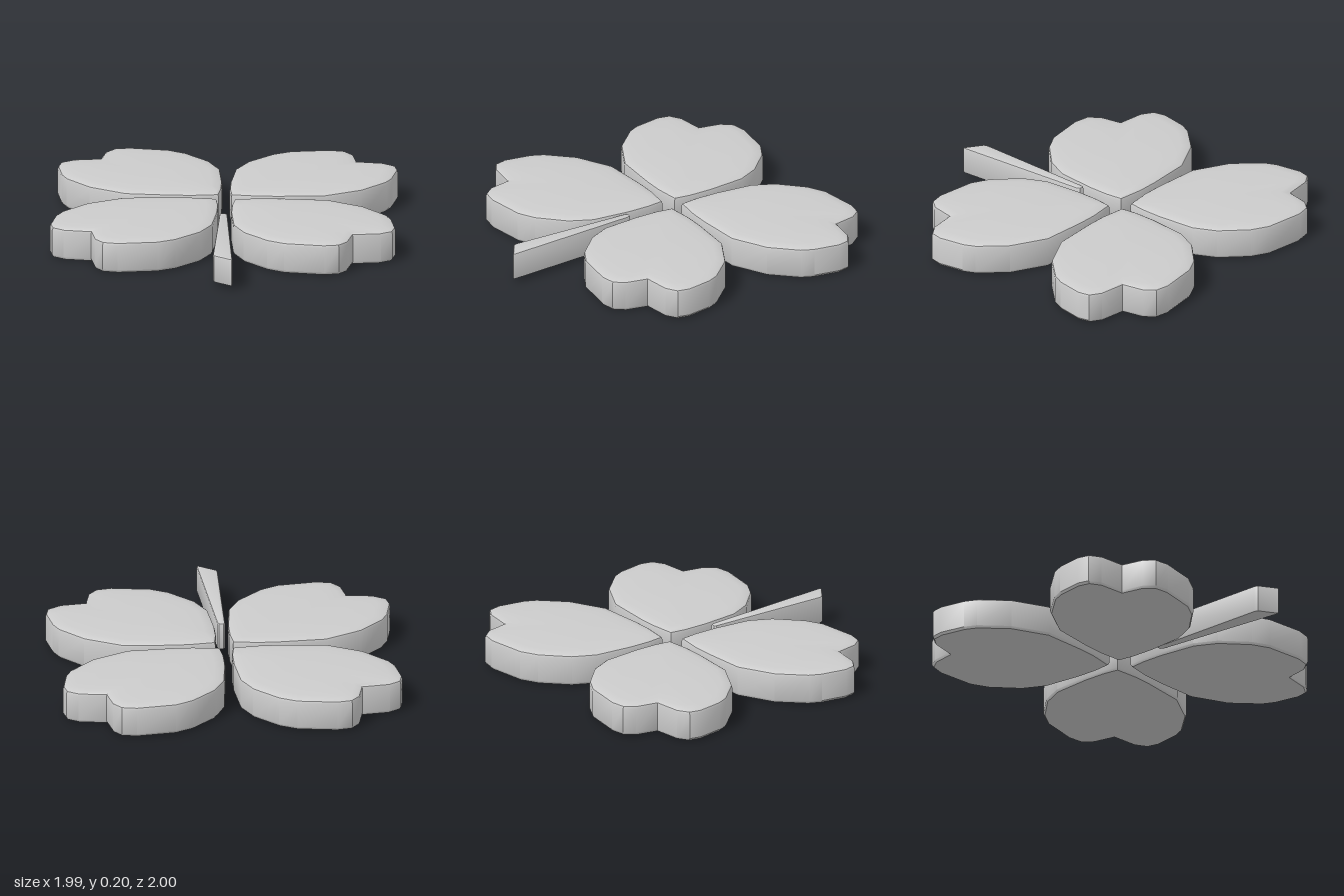
import * as THREE from 'three';
import { toCreasedNormals } from 'three/addons/utils/BufferGeometryUtils.js';

const material = new THREE.MeshStandardMaterial({ color: 0xcccccc });

// Heart-shaped leaf outline (x, z), with its inner tip at the origin
const LEAF = [
  [0, 0], [0.15, -0.018], [0.27, -0.018], [0.54, 0], [0.75, 0.11], [0.886, 0.255],
  [0.918, 0.325], [0.945, 0.48], [0.93, 0.55], [0.864, 0.592], [0.704, 0.613],
  [0.677, 0.747], [0.63, 0.806], [0.544, 0.822], [0.314, 0.79], [0.212, 0.736],
  [0.073, 0.597], [0.009, 0.464], [-0.013, 0.234], [-0.013, 0.1],
];
const CENTRE = [0.42, 0.36];

// Leaf cross-section from underside to top: [outline scale, height]
const RINGS = [
  [0, 0.003], [0.93, 0.004], [0.98, 0.008], [1, 0.022], [1, 0.172],
  [0.99, 0.185], [0.965, 0.191], [0.85, 0.197], [0.6, 0.202], [0, 0.204],
];

// Lofts the outline through the rings; sx and sz mirror it into a quadrant
function leafGeometry(sx, sz) {
  const outline = LEAF.map(([x, z]) => [x * sx, z * sz]);
  if (sx * sz < 0) outline.reverse();
  const [cx, cz] = [CENTRE[0] * sx, CENTRE[1] * sz];
  const n = outline.length;
  const positions = [], index = [];
  for (const [s, y] of RINGS) {
    for (const [x, z] of outline) positions.push(cx + (x - cx) * s, y, cz + (z - cz) * s);
  }
  for (let r = 0; r < RINGS.length - 1; r++) {
    for (let i = 0; i < n; i++) {
      const j = (i + 1) % n;
      const a = r * n + i, b = r * n + j;
      if (RINGS[r][0] > 0) index.push(a, a + n, b);
      if (RINGS[r + 1][0] > 0) index.push(a + n, b + n, b);
    }
  }
  const geometry = new THREE.BufferGeometry();
  geometry.setAttribute('position', new THREE.Float32BufferAttribute(positions, 3));
  geometry.setIndex(index);
  return toCreasedNormals(geometry, 0.6);
}

// Tapered stem, cut at a slant at its wide end
function stemGeometry() {
  const points = [
    [-0.027, 0.17], [-0.017, 0.158], [0.008, 0.16], [0.018, 0.18],
    [0.075, 0.985], [0.07, 0.997], [0.055, 0.988], [-0.033, 0.928], [-0.04, 0.905],
  ];
  const shape = new THREE.Shape(points.map(([x, z]) => new THREE.Vector2(x, -z)));
  const bevel = 0.01;
  const geometry = new THREE.ExtrudeGeometry(shape, {
    depth: 0.165 - 2 * bevel, bevelSize: bevel, bevelThickness: bevel,
    bevelOffset: -bevel, bevelSegments: 2,
  });
  geometry.rotateX(-Math.PI / 2).translate(0, 0.025 + bevel, 0);
  return toCreasedNormals(geometry, 0.6);
}

export function createModel() {
  const model = new THREE.Group();
  model.name = 'fourLeafClover';

  // Four leaves: name, mirror signs, tip position
  const leaves = [
    ['frontLeftLeaf', 1, 1, 0.05, -0.1],
    ['frontRightLeaf', -1, 1, -0.053, -0.1],
    ['backLeftLeaf', 1, -1, 0.028, -0.178],
    ['backRightLeaf', -1, -1, -0.045, -0.178],
  ];
  for (const [name, sx, sz, x, z] of leaves) {
    const leaf = new THREE.Mesh(leafGeometry(sx, sz), material);
    leaf.name = name;
    leaf.position.set(x, 0, z);
    model.add(leaf);
  }

  const stem = new THREE.Mesh(stemGeometry(), material);
  stem.name = 'stem';
  model.add(stem);
  return model;
}
